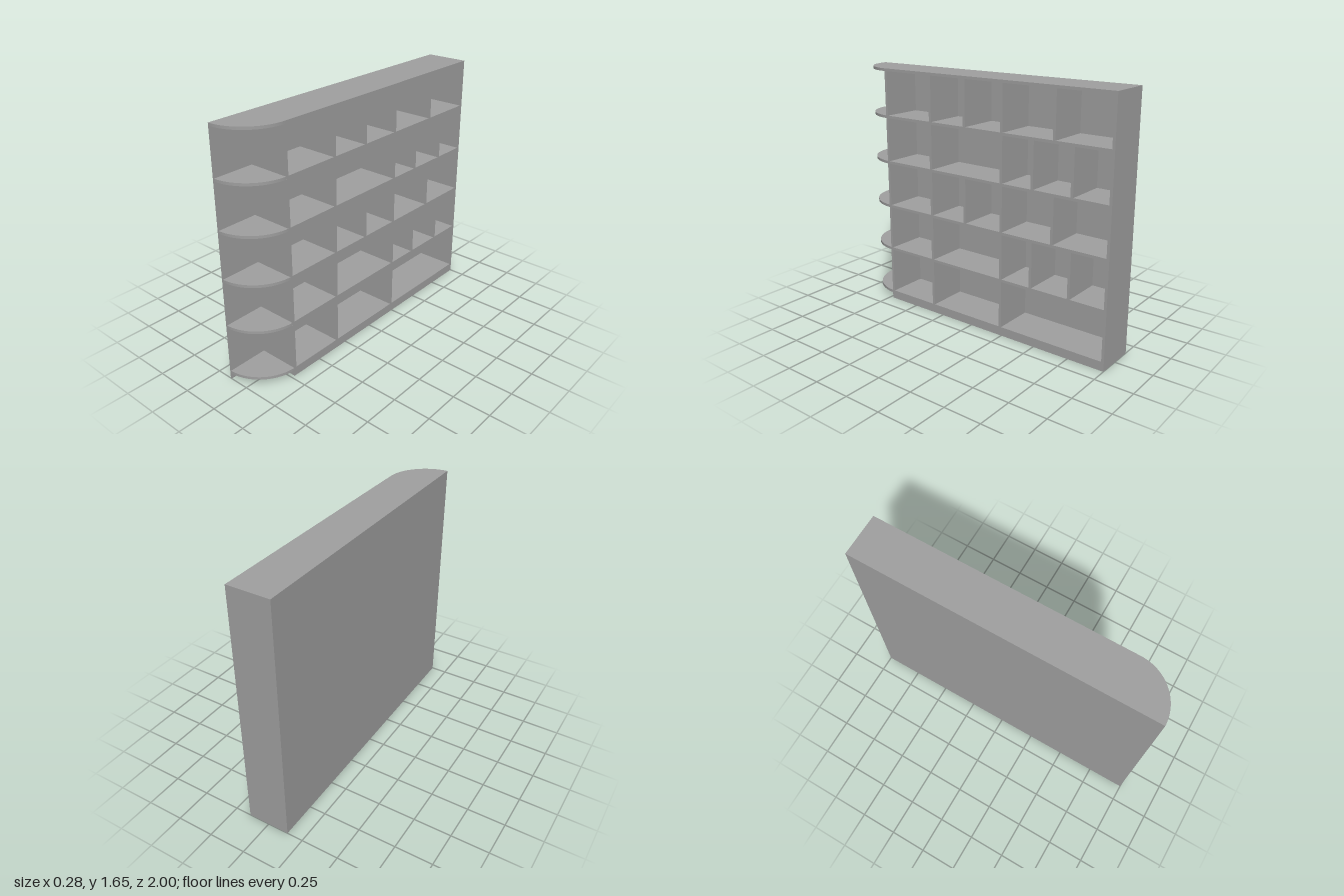
import * as THREE from 'three';
import { toCreasedNormals } from 'three/addons/utils/BufferGeometryUtils.js';

const T = 0.018;               // board thickness
const X0 = -0.142, X1 = 0.142; // back and open side of the bookcase
const XB = X0 + 0.009;         // inner face of the back panel
const H = 1.655;
const RADIUS = X1 - X0;        // quarter-round shelf end
const ROUND_Z = 1 - RADIUS;    // where the rounded end begins
const SHELF_TOPS = [0.06, 0.393, 0.709, 1.024, 1.34, H];
const UPRIGHTS = [0.718, 0.331, -0.239, -1 + T / 2];

export function createModel() {
  const group = new THREE.Group();
  const material = new THREE.MeshStandardMaterial({ color: 0xa0a0a0 });

  const add = (name, geometry) => {
    const mesh = new THREE.Mesh(geometry, material);
    mesh.name = name;
    group.add(mesh);
    return mesh;
  };
  const box = (name, x0, x1, y0, y1, z0, z1) =>
    add(name, new THREE.BoxGeometry(x1 - x0, y1 - y0, z1 - z0))
      .position.set((x0 + x1) / 2, (y0 + y1) / 2, (z0 + z1) / 2);

  // Full back panel and solid plinth
  box('backPanel', X0, XB, 0, H, -1, 1);
  box('plinth', XB, X1, 0, SHELF_TOPS[0] - T, -1, UPRIGHTS[0] + T / 2);

  // Shelf outline with a quarter-round end, drawn in x and z
  const outline = new THREE.Shape();
  outline.moveTo(XB, -1);
  outline.lineTo(X1, -1);
  outline.lineTo(X1, ROUND_Z);
  outline.absarc(X0, ROUND_Z, RADIUS, 0, Math.acos((XB - X0) / RADIUS), false);
  outline.closePath();
  const shelf = toCreasedNormals(
    new THREE.ExtrudeGeometry(outline, { depth: T, bevelEnabled: false, curveSegments: 32 })
      .rotateX(Math.PI / 2), 0.5);
  SHELF_TOPS.forEach((y, i) => { add('shelf' + (i + 1), shelf).position.y = y; });

  // Uprights shared by every row, plus staggered dividers per row
  const wide = [0.05, -0.613];
  const narrow = [-0.466, -0.742];
  const dividers = [[], narrow, wide, narrow, wide];
  dividers.forEach((extra, row) => {
    const y0 = SHELF_TOPS[row], y1 = SHELF_TOPS[row + 1] - T;
    for (const z of UPRIGHTS) box('upright', XB, X1, y0, y1, z - T / 2, z + T / 2);
    for (const z of extra) box('divider', XB, X1, y0, y1, z - T / 2, z + T / 2);
  });

  return group;
}
